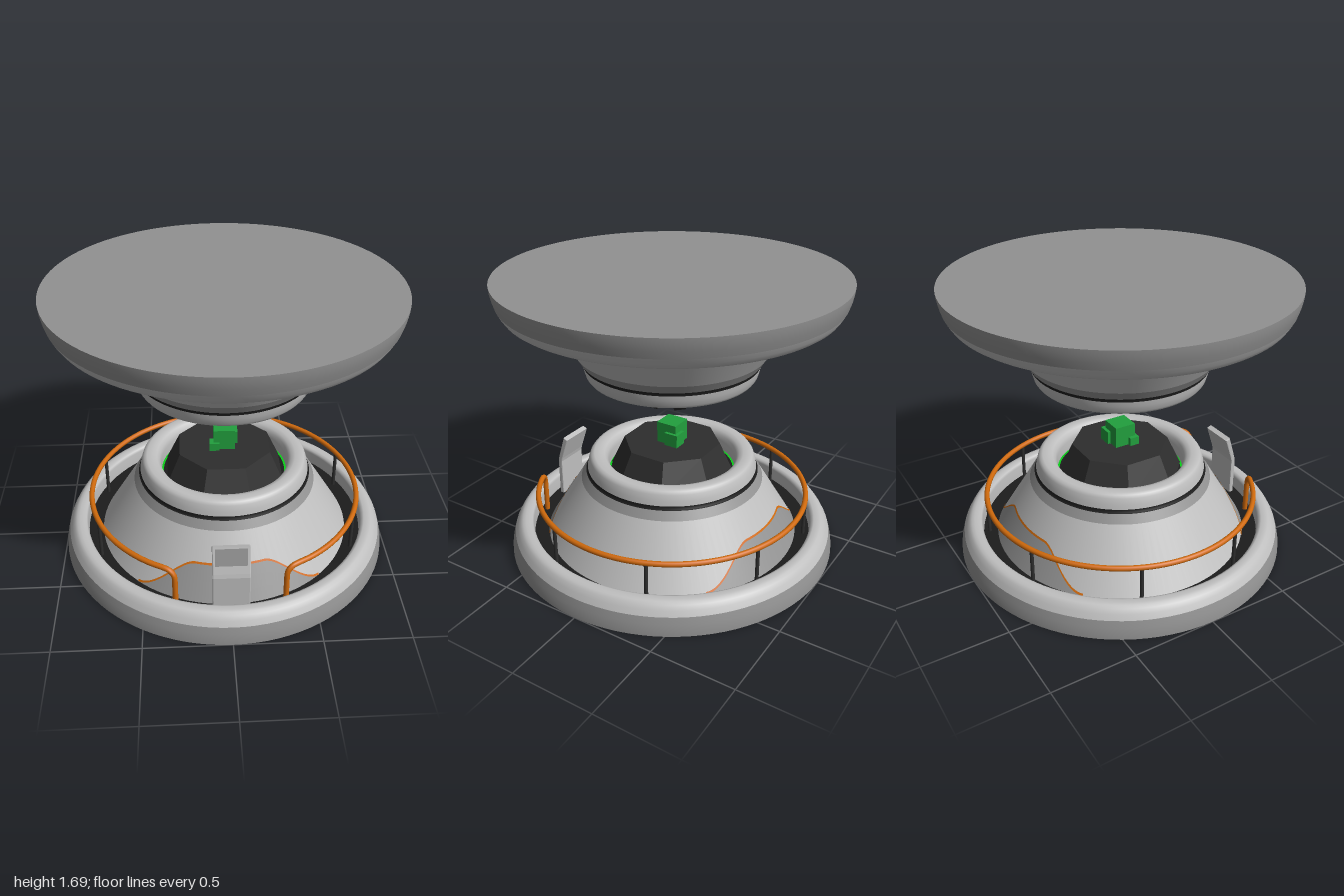
import * as THREE from 'three';

const paint = (name, color, side = THREE.FrontSide) => {
  const m = new THREE.MeshStandardMaterial({ color, side });
  m.name = name;
  return m;
};
const light = paint('light grey', 0xbfbfbf, THREE.DoubleSide);
const mid = paint('mid grey', 0x929292, THREE.DoubleSide);
const black = paint('groove black', 0x1c1c1c, THREE.DoubleSide);
const dark = paint('dark metal', 0x2e2e2e);
const orange = paint('orange', 0xd06a0c, THREE.DoubleSide);
const green = paint('emitter green', 0x22a03e);
const glow = paint('glow green', 0x08d018, THREE.DoubleSide);

const HEIGHT = 1.69;

function add(parent, name, geometry, material) {
  const mesh = new THREE.Mesh(geometry, material);
  mesh.name = name;
  parent.add(mesh);
  return mesh;
}

// Ring swept from [radius, height] points
function ring(parent, name, points, material) {
  return add(parent, name, new THREE.LatheGeometry(points.map(p => new THREE.Vector2(...p)), 96), material);
}

// Cone wall radius at height y
const coneR = y => 0.77 - (y - 0.08) * 0.605;

// Skin following the cone between two height rules
function coneSkin(low, high, offset, centre) {
  const nu = 64, nv = 3, half = 0.76, pos = [], idx = [];
  for (let i = 0; i <= nu; i++) {
    const a = -half + (2 * half * i) / nu;
    for (let j = 0; j <= nv; j++) {
      const y = low(a) + (high(a) - low(a)) * j / nv, r = coneR(y) + offset;
      pos.push(r * Math.sin(a + centre), y, r * Math.cos(a + centre));
    }
  }
  for (let i = 0; i < nu; i++) for (let j = 0; j < nv; j++) {
    const p = i * (nv + 1) + j, q = p + nv + 1;
    idx.push(p, q, q + 1, p, q + 1, p + 1);
  }
  const g = new THREE.BufferGeometry();
  g.setAttribute('position', new THREE.Float32BufferAttribute(pos, 3));
  g.setIndex(idx);
  g.computeVertexNormals();
  return g;
}

// Flat plateau with flared shoulders
function patchTop(a) {
  const t = THREE.MathUtils.clamp((Math.abs(a) - 0.3) / 0.46, 0, 1);
  return 0.275 - 0.185 * t * t * (3 - 2 * t);
}

// Open shell shared by the base and the upside-down top
function makeShell(name) {
  const g = new THREE.Group();
  g.name = name;
  ring(g, 'rimBand', [[1, 0], [0.998, 0.03], [0.99, 0.07], [0.978, 0.11]], mid);
  ring(g, 'rim', [[0.978, 0.11], [0.962, 0.14], [0.945, 0.165], [0.928, 0.177], [0.91, 0.18],
    [0.885, 0.18], [0.87, 0.173], [0.862, 0.158], [0.86, 0.08]], light);
  ring(g, 'grooveFloor', [[0.86, 0.08], [0.77, 0.08]], black);
  ring(g, 'cone', [[coneR(0.08), 0.08], [coneR(0.435), 0.435]], light);
  ring(g, 'coneBand', [[coneR(0.435), 0.435], [coneR(0.485), 0.485]], mid);
  ring(g, 'seal', [[coneR(0.485), 0.485], [0.515, 0.488], [0.515, 0.507]], black);
  ring(g, 'neck', [[0.515, 0.507], [0.51, 0.535], [0.5, 0.57], [0.488, 0.587], [0.47, 0.594],
    [0.435, 0.594], [0.41, 0.585], [0.393, 0.565], [0.385, 0.535], [0.385, 0.47]], light);
  ring(g, 'wellFloor', [[0.385, 0.47], [0, 0.47]], black);
  for (const y of [0.464, 0.476]) ring(g, 'glowRing', [[0.384, y], [0.372, y]], glow);
  for (const centre of [0, Math.PI]) for (const side of [1, -1]) {
    add(g, 'conePatch', coneSkin(() => 0.082, patchTop, 0.004 * side, centre), mid);
    add(g, 'patchTrim', coneSkin(a => patchTop(a) - 0.006, a => patchTop(a) + 0.005, 0.006 * side, centre), orange);
  }
  return g;
}

function box(parent, name, min, max, material) {
  const s = max.map((v, i) => v - min[i]);
  const m = add(parent, name, new THREE.BoxGeometry(...s), material);
  m.position.set(...max.map((v, i) => (v + min[i]) / 2));
  return m;
}

// Eight-sided block with a flat side facing front
function octagon(parent, name, rTop, rBottom, y0, y1, material) {
  const g = new THREE.CylinderGeometry(rTop, rBottom, y1 - y0, 8, 1, false, Math.PI / 8).toNonIndexed();
  g.computeVertexNormals();
  add(parent, name, g, material).position.y = (y0 + y1) / 2;
}

function extrude(points, depth, bevel) {
  const g = new THREE.ExtrudeGeometry(new THREE.Shape(points.map(p => new THREE.Vector2(...p))),
    { depth, bevelEnabled: bevel > 0, bevelSize: bevel, bevelThickness: bevel, bevelOffset: -bevel, bevelSegments: 2 });
  g.translate(0, 0, -depth / 2);
  return g;
}

function makeRail() {
  const g = new THREE.Group(), R = 0.823, start = 0.39, turn = 0.073, path = [];
  g.name = 'handrail';
  const at = (a, y) => new THREE.Vector3(R * Math.sin(a), y, R * Math.cos(a));
  const end = [[start, 0.07], [start, 0.18], [start, 0.26]];
  for (let k = 0; k <= 4; k++) {
    const f = k * Math.PI / 8;
    end.push([start + turn * (1 - Math.cos(f)), 0.28 + 0.06 * Math.sin(f)]);
  }
  for (const [a, y] of end) path.push(at(a, y));
  const from = start + turn, span = 2 * (Math.PI - from);
  for (let i = 1; i < 48; i++) path.push(at(from + span * i / 48, 0.34));
  for (const [a, y] of end.reverse()) path.push(at(-a, y));
  add(g, 'railTube', new THREE.TubeGeometry(new THREE.CatmullRomCurve3(path), 260, 0.016, 12), orange);
  for (const deg of [67.5, 112.5, 157.5]) for (const s of [1, -1]) {
    const post = add(g, 'railPost', new THREE.CylinderGeometry(0.011, 0.011, 0.26, 10), dark);
    post.position.copy(at(s * deg * Math.PI / 180, 0.205));
  }
  return g;
}

function makeConsole() {
  const g = new THREE.Group();
  g.name = 'console';
  const body = extrude([[0.793, 0.07], [0.823, 0.07], [0.823, 0.325], [0.817, 0.35],
    [0.768, 0.503], [0.737, 0.491], [0.787, 0.345], [0.793, 0.32]], 0.2, 0.006);
  body.rotateY(-Math.PI / 2);
  add(g, 'consoleBody', body, light);
  const screen = add(g, 'consoleScreen', new THREE.BoxGeometry(0.18, 0.1, 0.006), mid);
  screen.position.set(0, 0.445, 0.787);
  screen.rotation.x = -Math.atan2(0.049, 0.153);
  return g;
}

// Stepped green blocks on an eight-sided pedestal
function makeLowerEmitter() {
  const g = new THREE.Group();
  g.name = 'lowerEmitter';
  octagon(g, 'pedestal', 0.292, 0.38, 0.472, 0.66, dark);
  box(g, 'mainBlock', [-0.065, 0.655, -0.065], [0.063, 0.79, 0.065], green);
  box(g, 'sideBlock', [0, 0.655, -0.085], [0.082, 0.74, 0.002], green);
  box(g, 'smallBlock', [-0.09, 0.655, 0.02], [-0.03, 0.71, 0.08], green);
  return g;
}

// Hanging hub ringed by claws and glowing strips
function makeUpperEmitter() {
  const g = new THREE.Group();
  g.name = 'upperEmitter';
  octagon(g, 'hub', 0.138, 0.117, 0.925, 1.0, dark);
  octagon(g, 'hubCore', 0.2, 0.13, 1.0, 1.22, dark);
  octagon(g, 'hubLens', 0.105, 0.1, 0.92, 0.926, green);
  const claw = extrude([[0.2, 1.22], [0.2, 1.05], [0.185, 0.965], [0.205, 0.955], [0.265, 1.015],
    [0.295, 1.04], [0.305, 1.22]], 0.062, 0.004);
  for (let i = 0; i < 8; i++) {
    const arm = new THREE.Group();
    arm.name = 'clawArm';
    arm.rotation.y = i * Math.PI / 4;
    add(arm, 'claw', claw, dark);
    for (const s of [-1, 1]) {
      box(arm, 'clawGlow', [0.298, 1.05, s * 0.017 - 0.004], [0.307, 1.2, s * 0.017 + 0.004], glow);
      box(arm, 'clawSideGlow', [0.235, 1.03, s * 0.036 - 0.003], [0.247, 1.2, s * 0.036 + 0.003], glow);
      const strip = box(arm, 'hubGlow', [0.152, 1.01, s * 0.045 - 0.004], [0.16, 1.2, s * 0.045 + 0.004], glow);
      strip.rotation.z = -0.29;
    }
    g.add(arm);
  }
  return g;
}

export function createModel() {
  const model = new THREE.Group();
  model.name = 'projectorPlatform';
  const base = makeShell('base');
  const top = makeShell('top');
  top.rotation.x = Math.PI;
  top.position.y = HEIGHT;
  const cap = add(top, 'topCap', new THREE.CircleGeometry(1, 96), mid);
  cap.rotation.x = Math.PI / 2;
  model.add(base, top, makeRail(), makeConsole(), makeLowerEmitter(), makeUpperEmitter());
  return model;
}
